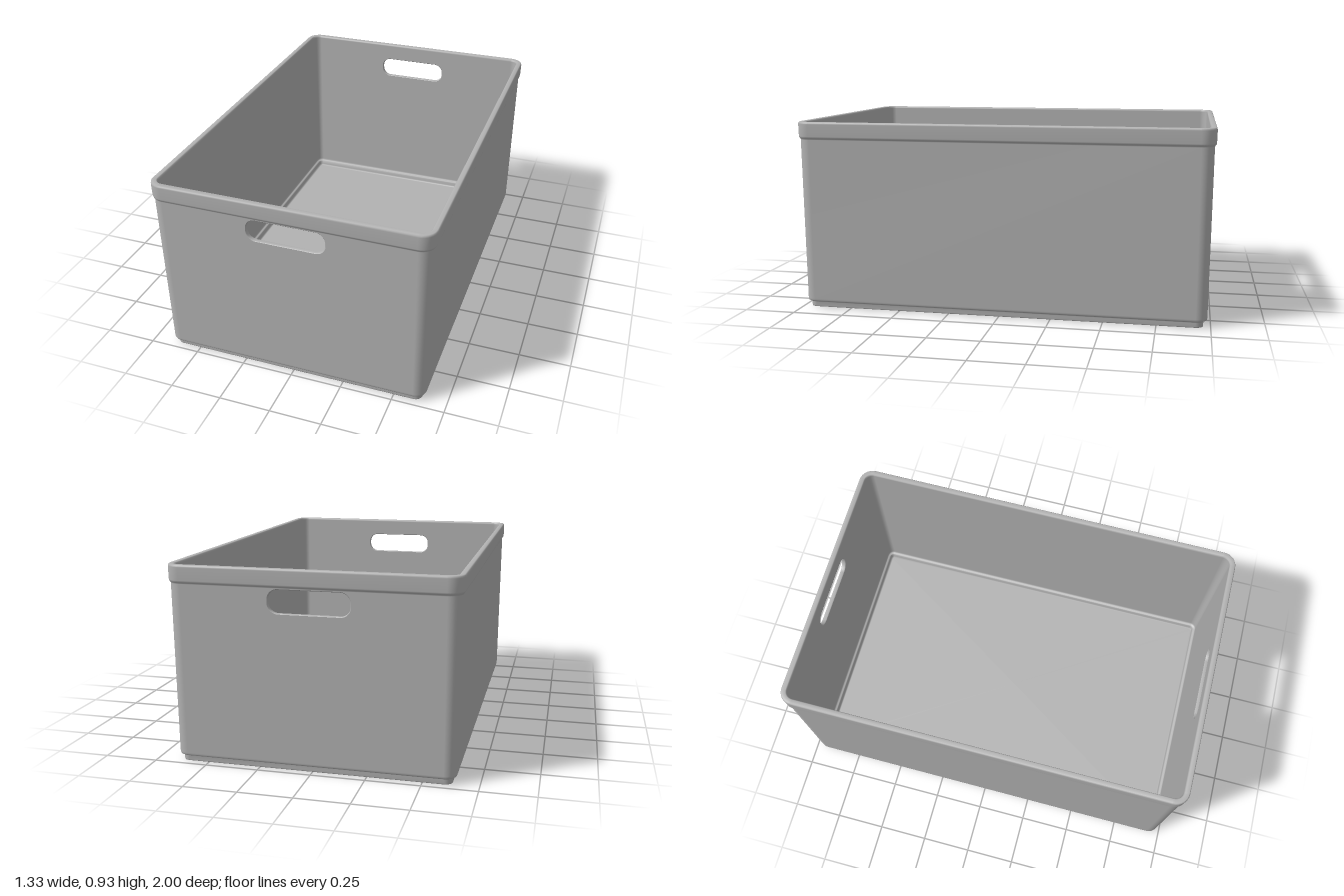
import * as THREE from 'three';

const X = 0.666, Z = 1, R = 0.07, ARC = 8; // rim half sizes, corner radius, corner steps
const HOLE = { y: 0.78, hx: 0.186, hy: 0.053, r: 0.046, edge: 0.003 };

// Profile points: [inset from the rim outline, height]
const foot = [[0.04, 0], [0.0355, 0.0015], [0.034, 0.006], [0.034, 0.025], [0.032, 0.029],
  [0.023, 0.031], [0.0185, 0.034], [0.0165, 0.039], [0.016, 0.046]];
const rim = [[0.0095, 0.838], [0.008, 0.843], [0.003, 0.848], [0.0012, 0.855], [0, 0.914],
  [0.0015, 0.921], [0.006, 0.925], [0.024, 0.925], [0.0285, 0.921], [0.03, 0.914]];
const floor = [[0.036, 0.062], [0.0375, 0.055], [0.041, 0.051], [0.048, 0.05], [0.052, 0.046],
  [0.054, 0.03], [0.056, 0.023], [0.062, 0.02]];

// Rounded rectangle outline at a given inset and height
function ring([d, y]) {
  const pts = [];
  [[1, 1], [-1, 1], [-1, -1], [1, -1]].forEach(([sx, sz], c) => {
    for (let k = 0; k <= ARC; k++) {
      const a = (c + k / ARC) * Math.PI / 2;
      pts.push([sx * (X - R) + (R - d) * Math.cos(a), y, sz * (Z - R) + (R - d) * Math.sin(a)]);
    }
  });
  return pts;
}

// Skin over closed rings; skipped quads still shape the smooth normals
function loft(rings, capped = false, skip = () => false) {
  const n = rings[0].length, last = rings.length - 1;
  const pos = rings.flat(2), all = [], kept = [];
  for (let i = 0; i < last; i++) {
    for (let j = 0; j < n; j++) {
      const k = (j + 1) % n;
      const a = i * n + j, b = a + n, c = i * n + k, d = c + n;
      all.push(a, b, c, b, d, c);
      if (!skip(i, j)) kept.push(a, b, c, b, d, c);
    }
  }
  if (capped) {
    const base = rings.length * n;
    pos.push(0, rings[0][0][1], 0, 0, rings[last][0][1], 0);
    for (let j = 0; j < n; j++) {
      const k = (j + 1) % n;
      const tris = [base, j, k, last * n + j, base + 1, last * n + k];
      all.push(...tris);
      kept.push(...tris);
    }
  }
  const geo = new THREE.BufferGeometry();
  geo.setAttribute('position', new THREE.Float32BufferAttribute(pos, 3));
  geo.setIndex(all);
  geo.computeVertexNormals();
  geo.setIndex(kept);
  return geo;
}

// Handle outline, clockwise seen from the front
function holeOutline(grow) {
  const pts = [], r = HOLE.r + grow;
  const w = HOLE.hx - HOLE.r, h = HOLE.hy - HOLE.r;
  [[1, 1], [1, -1], [-1, -1], [-1, 1]].forEach(([sx, sy], c) => {
    for (let k = 0; k <= ARC; k++) {
      const a = (1 - c - k / ARC) * Math.PI / 2;
      pts.push(new THREE.Vector2(sx * w + r * Math.cos(a), HOLE.y + sy * h + r * Math.sin(a)));
    }
  });
  return pts;
}

// Depth of a sloping end wall at height y
const wallZ = ([d0, y0], [d1, y1]) => y => Z - d0 - (d1 - d0) * (y - y0) / (y1 - y0);

// Flat end wall with the handle opening
function wallPanel(low, high, inward) {
  const w = X - R, z = wallZ(low, high);
  const shape = new THREE.Shape([[-w, low[1]], [w, low[1]], [w, high[1]], [-w, high[1]]]
    .map(p => new THREE.Vector2(...p)));
  shape.holes.push(new THREE.Path(holeOutline(HOLE.edge)));
  const geo = new THREE.ShapeGeometry(shape);
  const p = geo.attributes.position;
  for (let i = 0; i < p.count; i++) p.setZ(i, z(p.getY(i)));
  if (inward) geo.setIndex(Array.from(geo.index.array).reverse());
  geo.computeVertexNormals();
  return geo;
}

export function createModel() {
  const model = new THREE.Group();
  model.name = 'storageBin';
  const plastic = new THREE.MeshStandardMaterial({ color: 0xb2b2b2 });
  plastic.name = 'greyPlastic';
  const add = (parent, name, geo) => {
    const mesh = new THREE.Mesh(geo, plastic);
    mesh.name = name;
    parent.add(mesh);
  };

  // Shell: foot, walls, rim, inside and floor, left open where the end walls go
  const outerSeg = foot.length - 1, innerSeg = foot.length + rim.length - 1;
  const isEnd = j => j === ARC || j === 3 * ARC + 2;
  add(model, 'binShell', loft([...foot, ...rim, ...floor].map(ring), true,
    (i, j) => (i === outerSeg || i === innerSeg) && isEnd(j)));

  // End walls with handle openings, front and back
  const outer = [foot[foot.length - 1], rim[0]];
  const inner = [floor[0], rim[rim.length - 1]];
  const outZ = wallZ(...outer), inZ = wallZ(...inner), e = HOLE.edge;
  const lip = (grow, z, dz) => holeOutline(grow).map(p => [p.x, p.y, z(p.y) + dz]);
  for (const [name, turn] of [['frontWall', 0], ['backWall', Math.PI]]) {
    const wall = new THREE.Group();
    wall.name = name;
    wall.rotation.y = turn;
    add(wall, 'outerFace', wallPanel(...outer, false));
    add(wall, 'innerFace', wallPanel(...inner, true));
    add(wall, 'handleEdge', loft([lip(e, outZ, 0), lip(0, outZ, -e), lip(0, inZ, e), lip(e, inZ, 0)]));
    model.add(wall);
  }
  return model;
}
